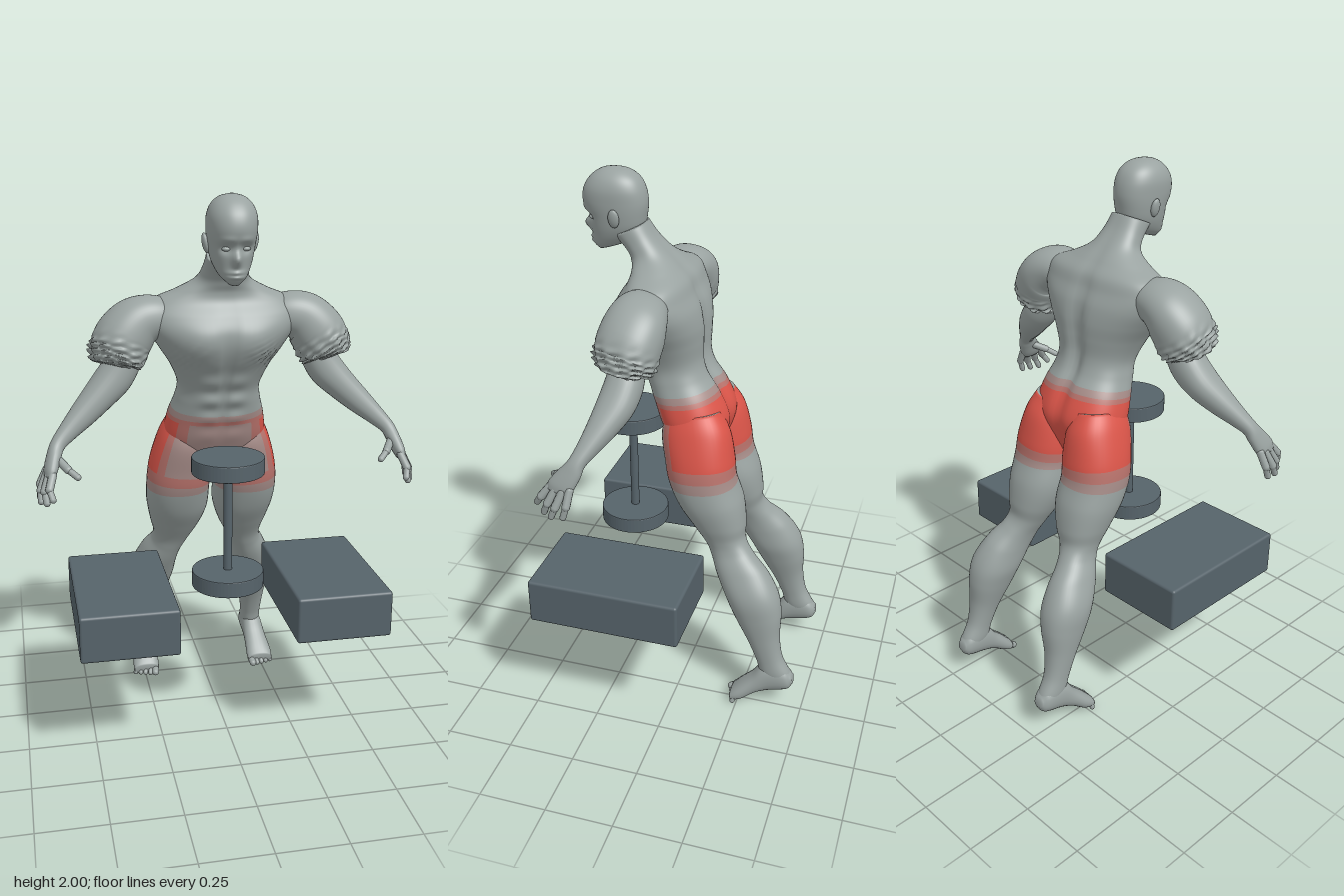
import * as THREE from 'three';
import { RoundedBoxGeometry } from 'three/addons/geometries/RoundedBoxGeometry.js';

const V = (x, y, z) => new THREE.Vector3(x, y, z);
const mat = (name, color) => Object.assign(new THREE.MeshStandardMaterial({ color }), { name });
const bump = (d, w) => Math.exp(-(d * d) / (w * w));

// Cross-section from its front and back points: x, half width, front y z, back y z
const slice = ([x, w, fy, fz, by, bz], s = 1) => ({ f: V(x * s, fy, fz), b: V(x * s, by, bz), w });

// Cross-section of an arm: centre, radius front to back, radius across
const armSlice = ([x, y, z, rz, rw], s) => {
  const axis = V(0.69 * s, -0.69, 0.25).normalize();
  const d = V(0, 0, 1).addScaledVector(axis, -axis.z).normalize().multiplyScalar(rz);
  return { f: V(x * s, y, z).add(d), b: V(x * s, y, z).sub(d), w: rw };
};

// Smooth closed skin through cross-sections; shape() moves points, paint() picks a material
function loft(slices, { rings = 60, sides = 36, power = 0.9, shape, paint = () => 0, materials = 1 }) {
  const curve = (pts) => new THREE.CatmullRomCurve3(pts, false, 'catmullrom', 0.5);
  const F = curve(slices.map((q) => q.f)), B = curve(slices.map((q) => q.b));
  const W = curve(slices.map((q) => V(q.w, 0, 0)));
  const mid = (t) => F.getPoint(t).add(B.getPoint(t)).multiplyScalar(0.5);
  const round = (v) => Math.sign(v) * Math.pow(Math.abs(v), power);
  const pos = [], buckets = Array.from({ length: materials }, () => []);
  for (let i = 0; i <= rings; i++) {
    const t = i / rings, c = mid(t);
    const along = mid(Math.min(1, t + 0.01)).sub(mid(Math.max(0, t - 0.01)));
    const half = F.getPoint(t).sub(B.getPoint(t)).multiplyScalar(0.5);
    const side = along.cross(half).normalize().multiplyScalar(W.getPoint(t).x);
    for (let j = 0; j < sides; j++) {
      const a = (j / sides) * Math.PI * 2;
      const p = c.clone().addScaledVector(side, round(Math.cos(a))).addScaledVector(half, round(Math.sin(a)));
      if (shape) shape(p, c, t, a);
      pos.push(p.x, p.y, p.z);
    }
  }
  const first = (rings + 1) * sides;
  pos.push(...mid(0).toArray(), ...mid(1).toArray());
  for (let i = 0; i < rings; i++) {
    const y = mid((i + 0.5) / rings).y;
    for (let j = 0; j < sides; j++) {
      const k = (j + 1) % sides, a = i * sides + j, b = i * sides + k;
      buckets[paint(y, Math.sin(((j + 0.5) / sides) * Math.PI * 2))]
        .push(a, a + sides, b, b, a + sides, b + sides);
    }
  }
  for (let j = 0; j < sides; j++) {
    const k = (j + 1) % sides, e = rings * sides;
    buckets[0].push(first, j, k, first + 1, e + k, e + j);
  }
  const g = new THREE.BufferGeometry();
  g.setAttribute('position', new THREE.Float32BufferAttribute(pos, 3));
  g.setIndex(buckets.flat());
  let start = 0;
  buckets.forEach((q, m) => { g.addGroup(start, q.length, m); start += q.length; });
  g.computeVertexNormals();
  return g;
}

export function createModel() {
  const skin = mat('greySkin', 0x9aa3a1), red = mat('shortsRed', 0xdb5549);
  const rose = mat('shortsRose', 0xb9736c), pale = mat('shortsPale', 0xa68c88);
  const slate = mat('slate', 0x56636a);
  const cloth = [skin, red, rose, pale];
  const root = new THREE.Group();
  const add = (name, geo, m, parent = root) => {
    const mesh = new THREE.Mesh(geo, m);
    mesh.name = name;
    parent.add(mesh);
    return mesh;
  };
  const blob = (name, [x, y, z], [a, b, c]) => {
    const m = add(name, new THREE.SphereGeometry(1, 20, 14), skin);
    m.position.set(x, y, z);
    m.scale.set(a, b, c);
    return m;
  };
  const capsule = (name, a, b, r) => {
    const d = b.clone().sub(a);
    const m = add(name, new THREE.CapsuleGeometry(r, d.length(), 5, 10), skin);
    m.position.copy(a).addScaledVector(d, 0.5);
    m.quaternion.setFromUnitVectors(V(0, 1, 0), d.normalize());
  };

  // Shorts fade out at the waist and on the thighs, and are paler in front
  const paint = (y, front) => {
    if (y > 1.235 || y < 0.89) return 0;
    if (y > 1.21 || y < 0.925) return 3;
    if (y > 1.19 || y < 0.965) return 2;
    return front > 0.82 ? 3 : front > 0.6 ? 2 : 1;
  };

  // Torso and neck
  const torso = [
    [0, 0.12, 0.96, 0.03, 0.95, -0.09], [0, 0.18, 1.04, 0.075, 1.05, -0.13],
    [0, 0.19, 1.11, 0.115, 1.13, -0.145], [0, 0.178, 1.18, 0.14, 1.22, -0.11],
    [0, 0.157, 1.25, 0.165, 1.29, -0.067], [0, 0.15, 1.31, 0.185, 1.35, -0.05],
    [0, 0.18, 1.39, 0.225, 1.42, -0.05], [0, 0.222, 1.46, 0.26, 1.48, -0.048],
    [0, 0.262, 1.53, 0.27, 1.54, -0.035], [0, 0.275, 1.585, 0.25, 1.59, -0.012],
    [0, 0.245, 1.632, 0.22, 1.637, 0.008], [0, 0.165, 1.665, 0.215, 1.675, 0.045],
    [0, 0.1, 1.69, 0.225, 1.72, 0.092], [0, 0.079, 1.72, 0.242, 1.77, 0.14],
    [0, 0.072, 1.77, 0.29, 1.82, 0.175],
  ].map((q) => slice(q));
  const muscles = (p, c, t, a) => {
    const x = Math.abs(p.x), front = Math.sin(a);
    if (front < 0) p.z -= front * 0.026 * bump(x, 0.03) * bump(p.y - 1.36, 0.27);
    else {
      const pec = bump(p.y - 1.49, 0.065) * bump(x - 0.1, 0.085);
      const cleft = bump(x, 0.014) * bump(p.y - 1.38, 0.22);
      const abs = bump(x - 0.045, 0.04) * bump(p.y - 1.27, 0.12) * Math.cos((p.y - 1.2) * 85);
      const torn = bump(x - 0.15, 0.05) * bump(p.y - 1.445, 0.04) * Math.sin(x * 260) * Math.sin(p.y * 190);
      p.z += front * (0.016 * pec - 0.012 * cleft + 0.006 * abs + 0.012 * torn);
    }
  };
  add('torso', loft(torso, { rings: 130, sides: 80, power: 0.86, shape: muscles, paint, materials: 4 }), cloth);

  // Head and face
  const head = [
    [0, 0.026, 1.708, 0.352, 1.74, 0.25], [0, 0.05, 1.73, 0.37, 1.765, 0.21],
    [0, 0.068, 1.775, 0.374, 1.8, 0.185], [0, 0.078, 1.835, 0.386, 1.84, 0.176],
    [0, 0.083, 1.885, 0.404, 1.885, 0.172], [0, 0.082, 1.93, 0.398, 1.93, 0.18],
    [0, 0.068, 1.966, 0.374, 1.966, 0.2], [0, 0.042, 1.99, 0.34, 1.99, 0.235],
    [0, 0.008, 2.0, 0.3, 2.0, 0.28],
  ].map((q) => slice(q));
  const face = (p, c, t, a) => {
    if (Math.sin(a) < 0) return;
    const x = Math.abs(p.x);
    p.z -= 0.016 * bump(x - 0.033, 0.02) * bump(p.y - 1.83, 0.016);
    p.z += 0.006 * bump(x - 0.03, 0.03) * bump(p.y - 1.858, 0.012);
    p.z += 0.028 * bump(x, 0.014) * bump(p.y - 1.795, 0.024);
    p.z += 0.01 * bump(x, 0.026) * (bump(p.y - 1.752, 0.007) + bump(p.y - 1.737, 0.006));
  };
  add('head', loft(head, { rings: 90, sides: 72, shape: face }), skin);

  for (const s of [1, -1]) {
    const side = s > 0 ? 'left' : 'right';
    blob(side + 'Ear', [0.083 * s, 1.84, 0.268], [0.012, 0.034, 0.02]).rotation.z = -0.2 * s;
    blob(side + 'Eye', [0.033 * s, 1.829, 0.362], [0.015, 0.008, 0.012]);

    // Leg, from hip to heel
    const leg = [
      [0.1, 0.08, 1.14, 0.08, 1.17, -0.12], [0.112, 0.1, 1.07, 0.09, 1.1, -0.16],
      [0.123, 0.117, 0.98, 0.075, 1.0, -0.182], [0.13, 0.12, 0.9, 0.058, 0.92, -0.192],
      [0.13, 0.117, 0.8, 0.015, 0.83, -0.222], [0.137, 0.095, 0.72, -0.04, 0.74, -0.235],
      [0.147, 0.07, 0.65, -0.09, 0.68, -0.237], [0.162, 0.061, 0.6, -0.115, 0.63, -0.272],
      [0.185, 0.072, 0.54, -0.142, 0.57, -0.335], [0.205, 0.084, 0.46, -0.185, 0.49, -0.383],
      [0.215, 0.073, 0.38, -0.225, 0.41, -0.4], [0.225, 0.053, 0.28, -0.28, 0.31, -0.4],
      [0.23, 0.042, 0.2, -0.315, 0.22, -0.415], [0.232, 0.04, 0.15, -0.33, 0.15, -0.45],
      [0.232, 0.032, 0.11, -0.36, 0.1, -0.455],
    ].map((q) => slice(q, s));
    add(side + 'Leg', loft(leg, { rings: 110, sides: 40, paint, materials: 4 }), cloth);

    // Foot, from heel to ball, then toes
    const foot = [
      [0.232, 0.02, 0.145, -0.458, 0.11, -0.463], [0.232, 0.038, 0.18, -0.42, 0.082, -0.442],
      [0.235, 0.042, 0.185, -0.35, 0.06, -0.365], [0.24, 0.046, 0.125, -0.3, 0.043, -0.315],
      [0.245, 0.053, 0.075, -0.25, 0.01, -0.265], [0.245, 0.051, 0.045, -0.222, 0.004, -0.23],
    ].map((q) => slice(q, s));
    add(side + 'Foot', loft(foot, { rings: 30, sides: 24 }), skin);
    for (let i = 0; i < 5; i++) {
      const x = (0.207 + i * 0.02) * s, r = i ? 0.01 : 0.014;
      capsule(side + 'Toe', V(x, 0.026, -0.24), V(x + 0.004 * s, r, -0.212 - i * 0.006), r);
    }

    // Shoulder and upper arm, ending in a ragged edge
    const upper = [
      [0.17, 1.55, 0.12, 0.07, 0.07], [0.24, 1.57, 0.115, 0.095, 0.08], [0.3, 1.555, 0.115, 0.108, 0.092],
      [0.345, 1.51, 0.125, 0.112, 0.1], [0.37, 1.46, 0.135, 0.108, 0.098],
      [0.385, 1.43, 0.145, 0.09, 0.085], [0.39, 1.415, 0.145, 0.06, 0.06],
    ].map((q) => armSlice(q, s));
    const ragged = (p, c, t, a) => {
      const k = THREE.MathUtils.smoothstep(t, 0.5, 0.8);
      const n = Math.sin(a * 7 + t * 31) * Math.sin(a * 4 - t * 47) + 0.5 * Math.sin(a * 13 + t * 60);
      p.sub(c).multiplyScalar(1 + 0.11 * k * n).add(c);
    };
    add(side + 'UpperArm', loft(upper, { rings: 60, sides: 60, shape: ragged }), skin);

    // Forearm and palm
    const forearm = [
      [0.345, 1.43, 0.13, 0.06, 0.06], [0.385, 1.37, 0.135, 0.066, 0.064], [0.44, 1.312, 0.15, 0.064, 0.056],
      [0.5, 1.255, 0.178, 0.05, 0.046], [0.555, 1.205, 0.208, 0.036, 0.034], [0.592, 1.168, 0.232, 0.03, 0.026],
      [0.608, 1.135, 0.252, 0.04, 0.024], [0.622, 1.095, 0.278, 0.047, 0.022], [0.63, 1.07, 0.29, 0.04, 0.016],
    ].map((q) => armSlice(q, s));
    add(side + 'Forearm', loft(forearm, { rings: 60, sides: 28 }), skin);

    // Fingers and thumb, each with two segments: knuckle, middle joint, tip
    [
      [[0.635, 1.085, 0.245], [0.66, 1.035, 0.25], [0.662, 0.995, 0.262]],
      [[0.637, 1.078, 0.27], [0.66, 1.025, 0.29], [0.66, 0.99, 0.305]],
      [[0.63, 1.078, 0.298], [0.648, 1.03, 0.322], [0.642, 0.993, 0.338]],
      [[0.618, 1.085, 0.318], [0.632, 1.045, 0.35], [0.622, 1.015, 0.37]],
      [[0.595, 1.125, 0.27], [0.565, 1.1, 0.315], [0.535, 1.08, 0.342]],
    ].forEach((j, i) => {
      const [a, b, c] = j.map(([x, y, z]) => V(x * s, y, z));
      capsule(i < 4 ? side + 'Finger' : side + 'Thumb', a, b, 0.0145);
      capsule(i < 4 ? side + 'FingerTip' : side + 'ThumbTip', b, c, 0.0115);
    });

    // Block beside the figure
    add(side + 'Block', new RoundedBoxGeometry(0.35, 0.172, 0.566, 3, 0.01), slate).position.set(0.385 * s, 0.533, 0.187);
  }

  // Upright dumbbell: rod and two bevelled discs
  const dumbbell = new THREE.Group();
  dumbbell.name = 'dumbbell';
  dumbbell.position.z = 0.25;
  root.add(dumbbell);
  add('rod', new THREE.CylinderGeometry(0.016, 0.016, 0.42, 24), slate, dumbbell).position.y = 0.85;
  const disc = new THREE.ExtrudeGeometry(new THREE.Shape().absarc(0, 0, 0.127, 0, Math.PI * 2), {
    depth: 0.052, bevelSize: 0.004, bevelThickness: 0.004, bevelSegments: 2, curveSegments: 32,
  }).rotateX(-Math.PI / 2);
  add('upperDisc', disc, slate, dumbbell).position.y = 1.039;
  add('lowerDisc', disc, slate, dumbbell).position.y = 0.609;
  return root;
}
